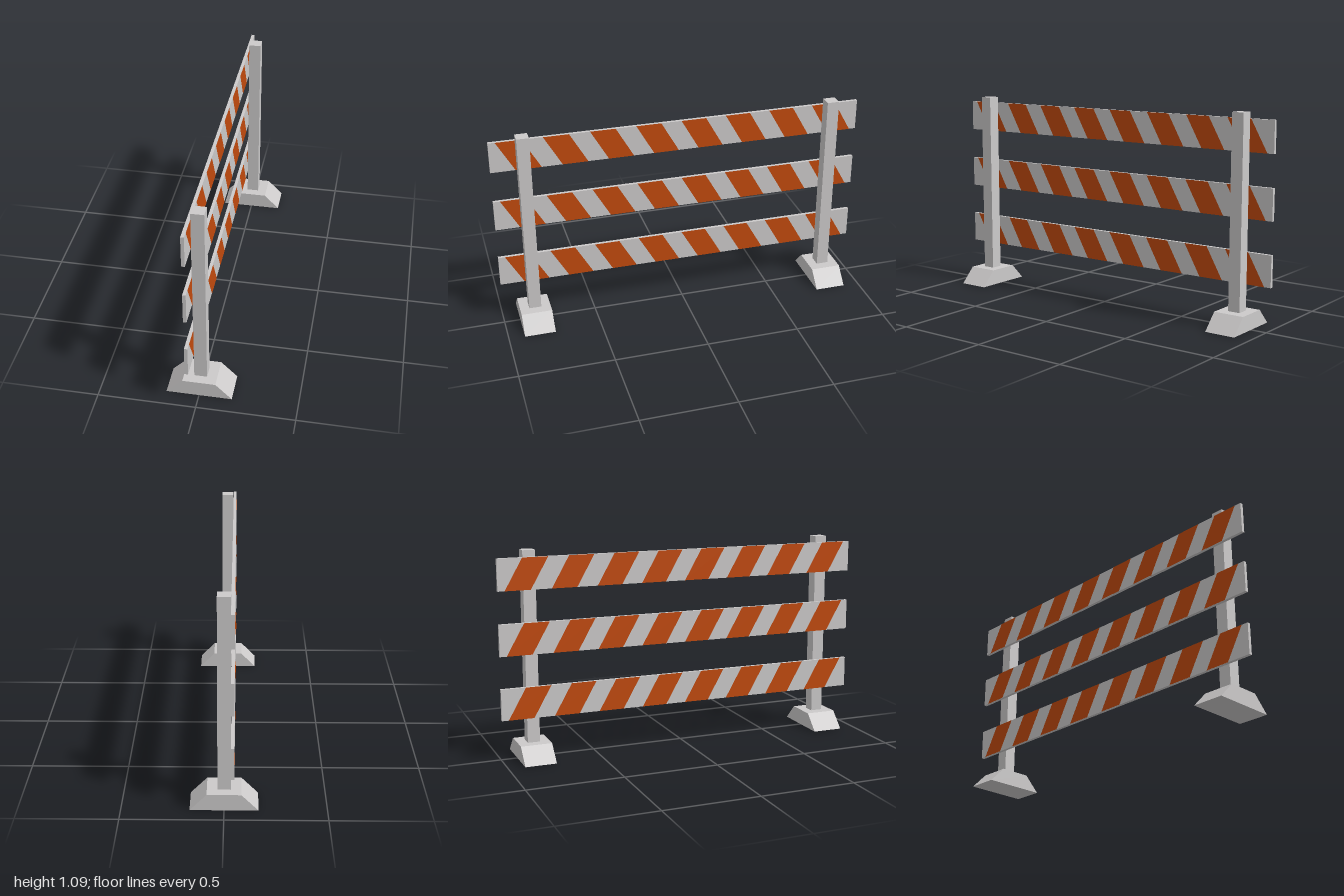
import * as THREE from 'three';
import { mergeGeometries } from 'three/addons/utils/BufferGeometryUtils.js';

const POST = 0.065, POST_Z = 0.832, BASE_H = 0.085, TOP = 1.085;
const BOARD_H = 0.165, BOARD_T = 0.017, BOARD_X = -0.0415;

const polygon = (points) => new THREE.Shape(points.map(([x, y]) => new THREE.Vector2(x, y)));

// Slanted stripes for one face of a board; side is +1 for the +x face, -1 for the -x face
function stripeGeometry(side) {
  const h = BOARD_H / 2, width = 0.134, slant = 0.094;
  const stripes = [];
  for (let i = 0; i < 8; i++) {
    const z = 0.9645 - i * 0.243;
    const corners = [[z, h], [z - width, h], [z - width - slant, -h], [z - slant, -h]];
    const stripe = new THREE.ShapeGeometry(polygon(corners.map(([cz, y]) => [-side * cz, y])));
    stripe.rotateY(side * Math.PI / 2);
    stripe.translate(side * (BOARD_T / 2 + 0.001), 0, 0);
    stripes.push(stripe);
  }
  return mergeGeometries(stripes);
}

export function createModel() {
  const grey = new THREE.MeshStandardMaterial({ color: 0xcccaca });
  grey.name = 'light grey';
  const orange = new THREE.MeshStandardMaterial({ color: 0xc24a0d });
  orange.name = 'orange';

  const model = new THREE.Group();
  model.name = 'barricade';
  const add = (parent, name, geometry, material, x = 0, y = 0, z = 0) => {
    const mesh = new THREE.Mesh(geometry, material);
    mesh.name = name;
    mesh.position.set(x, y, z);
    parent.add(mesh);
  };

  // Feet with sloping ends, and the posts standing on them
  const footGeometry = new THREE.ExtrudeGeometry(
    polygon([[-0.167, 0], [0.167, 0], [0.084, BASE_H], [-0.084, BASE_H]]),
    { depth: 0.165, bevelEnabled: false });
  footGeometry.translate(0, 0, -0.0825);
  const postGeometry = new THREE.BoxGeometry(POST, TOP - BASE_H, POST);
  for (const [end, z] of [['front', POST_Z], ['back', -POST_Z]]) {
    add(model, end + 'Foot', footGeometry, grey, 0, 0, z);
    add(model, end + 'Post', postGeometry, grey, 0, (TOP + BASE_H) / 2, z);
  }

  // Three boards, striped on both faces
  const boardGeometry = new THREE.BoxGeometry(BOARD_T, BOARD_H, 2);
  const leftStripes = stripeGeometry(1), rightStripes = stripeGeometry(-1);
  [['lower', 0.302], ['middle', 0.636], ['upper', 0.969]].forEach(([level, y]) => {
    const board = new THREE.Group();
    board.name = level + 'Board';
    board.position.set(BOARD_X, y, 0);
    add(board, 'plank', boardGeometry, grey);
    add(board, 'leftStripes', leftStripes, orange);
    add(board, 'rightStripes', rightStripes, orange);
    model.add(board);
  });
  return model;
}
